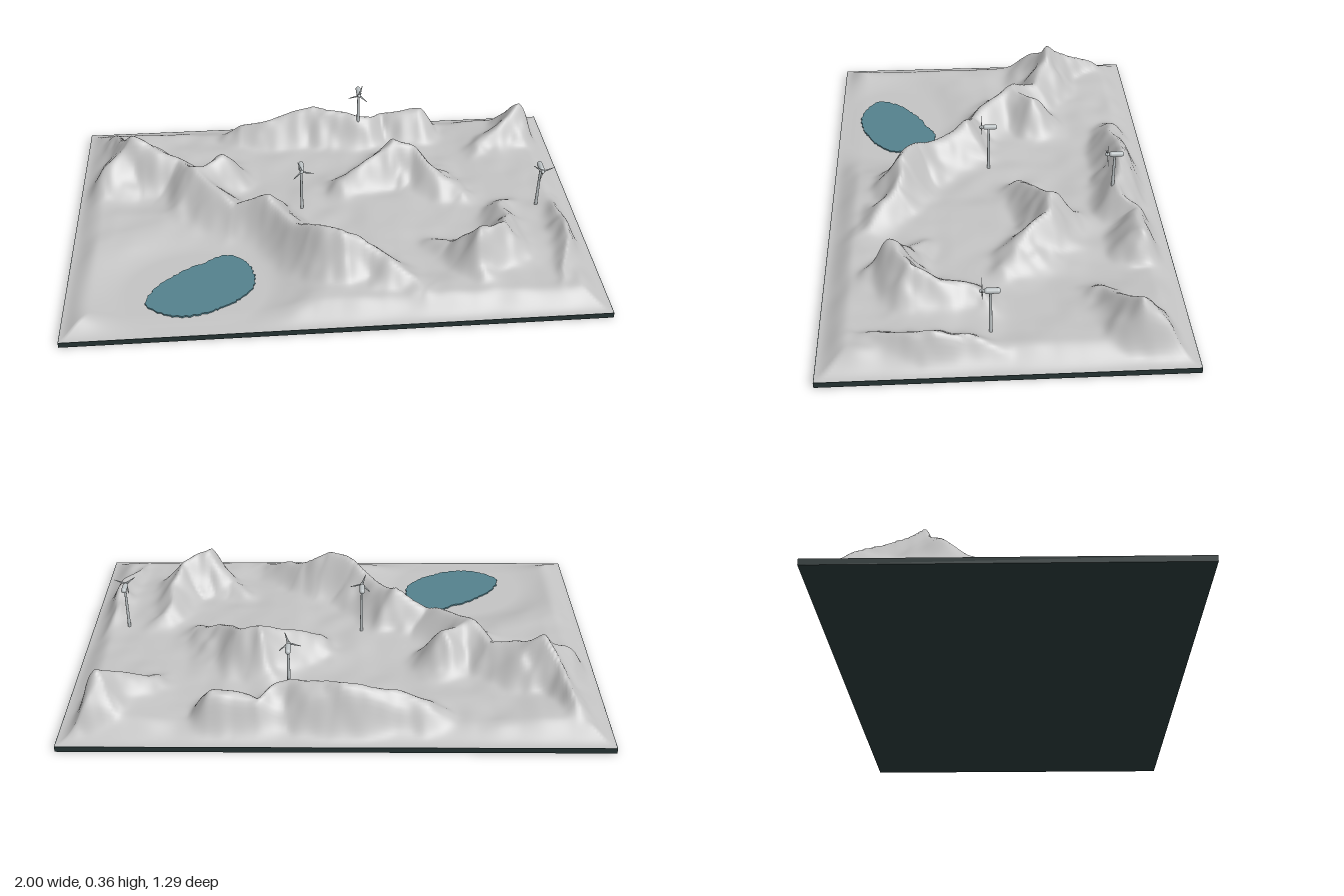
import * as THREE from 'three';

const { lerp, clamp, smoothstep } = THREE.MathUtils;
const mat = (name, color) => {
  const m = new THREE.MeshStandardMaterial({ color });
  m.name = name;
  return m;
};
const BASE_TOP = 0.022, HALF_X = 1, HALF_Z = 0.645;

// Mountain crests: width of the flanks, then x, z, height along the crest
const RIDGES = [
  { w: 0.12, pts: [[-0.92, -0.2, 0.14], [-0.77, -0.28, 0.24], [-0.6, -0.22, 0.18], [-0.52, -0.08, 0.2], [-0.36, 0.08, 0.16], [-0.23, 0.1, 0.205]] },
  { w: 0.09, pts: [[-0.88, -0.5, 0.12], [-0.77, -0.28, 0.23]] },
  { w: 0.1, pts: [[-0.53, -0.1, 0.19], [-0.41, -0.2, 0.215]] },
  { w: 0.11, pts: [[-0.23, 0.1, 0.2], [-0.08, 0.32, 0.243], [0.03, 0.37, 0.243], [0.13, 0.39, 0.18], [0.33, 0.53, 0.08]] },
  { w: 0.11, pts: [[0.07, -0.1, 0.13], [0.28, -0.2, 0.243], [0.36, -0.18, 0.22], [0.55, 0, 0.11]] },
  { w: 0.1, pts: [[-0.33, -0.5, 0.13], [-0.02, -0.51, 0.215], [0.17, -0.46, 0.19], [0.28, -0.53, 0.15], [0.43, -0.5, 0.18]] },
  { w: 0.1, pts: [[0.7, -0.33, 0.11], [0.84, -0.45, 0.225], [0.94, -0.58, 0.09]] },
  { w: 0.1, pts: [[0.42, 0.3, 0.12], [0.53, 0.38, 0.24], [0.65, 0.32, 0.215], [0.71, 0.08, 0.12]] },
  { w: 0.08, pts: [[0.92, 0.02, 0.07], [0.91, 0.26, 0.15], [0.83, 0.52, 0.07]] },
];

// Smooth seeded value noise in -1..1
const hash = (i, j) => {
  const s = Math.sin(i * 127.1 + j * 311.7) * 43758.5453;
  return (s - Math.floor(s)) * 2 - 1;
};
function noise(x, z) {
  const i = Math.floor(x), j = Math.floor(z);
  const u = smoothstep(x - i, 0, 1), v = smoothstep(z - j, 0, 1);
  return lerp(lerp(hash(i, j), hash(i + 1, j), u), lerp(hash(i, j + 1), hash(i + 1, j + 1), u), v);
}

// Height of one crest and its flanks at a point
function ridgeHeight({ w, pts }, x, z) {
  let best = 0;
  for (let i = 0; i < pts.length - 1; i++) {
    const [ax, az, ah] = pts[i], [bx, bz, bh] = pts[i + 1];
    const dx = bx - ax, dz = bz - az;
    const t = clamp(((x - ax) * dx + (z - az) * dz) / (dx * dx + dz * dz), 0, 1);
    const d = Math.hypot(x - ax - dx * t, z - az - dz * t);
    best = Math.max(best, lerp(ah, bh, t) * Math.exp(-Math.pow(d / w, 1.45)));
  }
  return best;
}

function terrainHeight(x, z) {
  // warp the position so the flanks break into spurs and gullies
  const wx = x + 0.022 * noise(x * 9, z * 9) + 0.008 * noise(x * 22 + 5, z * 22);
  const wz = z + 0.022 * noise(x * 9 + 40, z * 9 + 17) + 0.008 * noise(x * 22, z * 22 + 9);
  const floor = 0.07 + 0.014 * noise(x * 4 + 3, z * 4) + 0.006 * noise(x * 12, z * 12);
  let sum = Math.pow(floor, 6);
  for (const r of RIDGES) sum += Math.pow(ridgeHeight(r, wx, wz), 6);
  let h = Math.pow(sum, 1 / 6);
  // level ground around the lake
  const lake = Math.hypot((x + 0.52) / 0.4, (z - 0.42) / 0.32);
  h = lerp(0.03, h, smoothstep(lake, 0.65, 1.25));
  // slope down to the rim
  const edge = Math.min(HALF_X - Math.abs(x), HALF_Z - Math.abs(z));
  return BASE_TOP + Math.max(0, h - BASE_TOP) * smoothstep(edge, 0, 0.11);
}

function makeTerrain(material) {
  const geo = new THREE.PlaneGeometry(2 * HALF_X - 0.004, 2 * HALF_Z - 0.004, 200, 130);
  geo.rotateX(-Math.PI / 2);
  const p = geo.attributes.position;
  for (let i = 0; i < p.count; i++) p.setY(i, terrainHeight(p.getX(i), p.getZ(i)));
  geo.computeVertexNormals();
  const mesh = new THREE.Mesh(geo, material);
  mesh.name = 'terrain';
  return mesh;
}

function makeLake(material) {
  const shore = [[-0.4, 0.23], [-0.31, 0.31], [-0.31, 0.43], [-0.47, 0.54], [-0.6, 0.55], [-0.7, 0.48], [-0.67, 0.4], [-0.57, 0.31], [-0.49, 0.27]];
  const curve = new THREE.CatmullRomCurve3(shore.map(([x, z]) => new THREE.Vector3(x, -z, 0)), true);
  // slightly ragged shoreline
  const outline = curve.getSpacedPoints(120).slice(0, -1)
    .map((q, i) => new THREE.Vector2(q.x + 0.004 * hash(i, 1), q.y + 0.004 * hash(i, 2)));
  const geo = new THREE.ExtrudeGeometry(new THREE.Shape(outline), { depth: 0.008, bevelEnabled: false });
  geo.rotateX(-Math.PI / 2);
  const mesh = new THREE.Mesh(geo, material);
  mesh.name = 'lake';
  mesh.position.y = 0.028;
  return mesh;
}

function makeTurbine(x, z, hubY, spin, material) {
  const g = new THREE.Group();
  g.name = 'windTurbine';
  const add = (name, geo, parent = g) => {
    const m = new THREE.Mesh(geo, material);
    m.name = name;
    parent.add(m);
    return m;
  };
  // tower reaches just below the ground
  const bottom = terrainHeight(x, z) - 0.015;
  add('tower', new THREE.CylinderGeometry(0.0045, 0.0065, hubY - bottom, 16)).position.y = (bottom + hubY) / 2;
  const nacelle = add('nacelle', new THREE.CapsuleGeometry(0.0105, 0.036, 6, 16).rotateX(Math.PI / 2));
  nacelle.position.set(0, hubY, -0.006);
  const rotor = new THREE.Group();
  rotor.name = 'rotor';
  rotor.position.set(0, hubY, 0.028);
  rotor.rotation.z = spin;
  g.add(rotor);
  add('hub', new THREE.SphereGeometry(0.007, 16, 10), rotor).scale.z = 1.4;
  for (let i = 0; i < 3; i++) {
    const blade = add('blade', new THREE.CylinderGeometry(0.0012, 0.005, 0.046, 8).scale(1, 1, 0.4).translate(0, 0.024, 0), rotor);
    blade.rotation.z = (i * Math.PI * 2) / 3;
  }
  g.position.set(x, 0, z);
  return g;
}

export function createModel() {
  const rock = mat('rockGrey', 0xc2c2c2);
  const water = mat('lakeTeal', 0x53808c);
  const dark = mat('baseDark', 0x263434);
  const metal = mat('turbineGrey', 0xbcc2c4);

  const model = new THREE.Group();
  model.name = 'windFarmLandscape';
  const base = new THREE.Mesh(new THREE.BoxGeometry(2 * HALF_X, BASE_TOP, 2 * HALF_Z), dark);
  base.name = 'basePlate';
  base.position.y = BASE_TOP / 2;
  model.add(base, makeTerrain(rock), makeLake(water));
  model.add(
    makeTurbine(-0.1, 0.015, 0.278, 0.3, metal),
    makeTurbine(0.84, 0.054, 0.255, 0.9, metal),
    makeTurbine(0.17, -0.45, 0.318, -0.25, metal),
  );
  return model;
}
